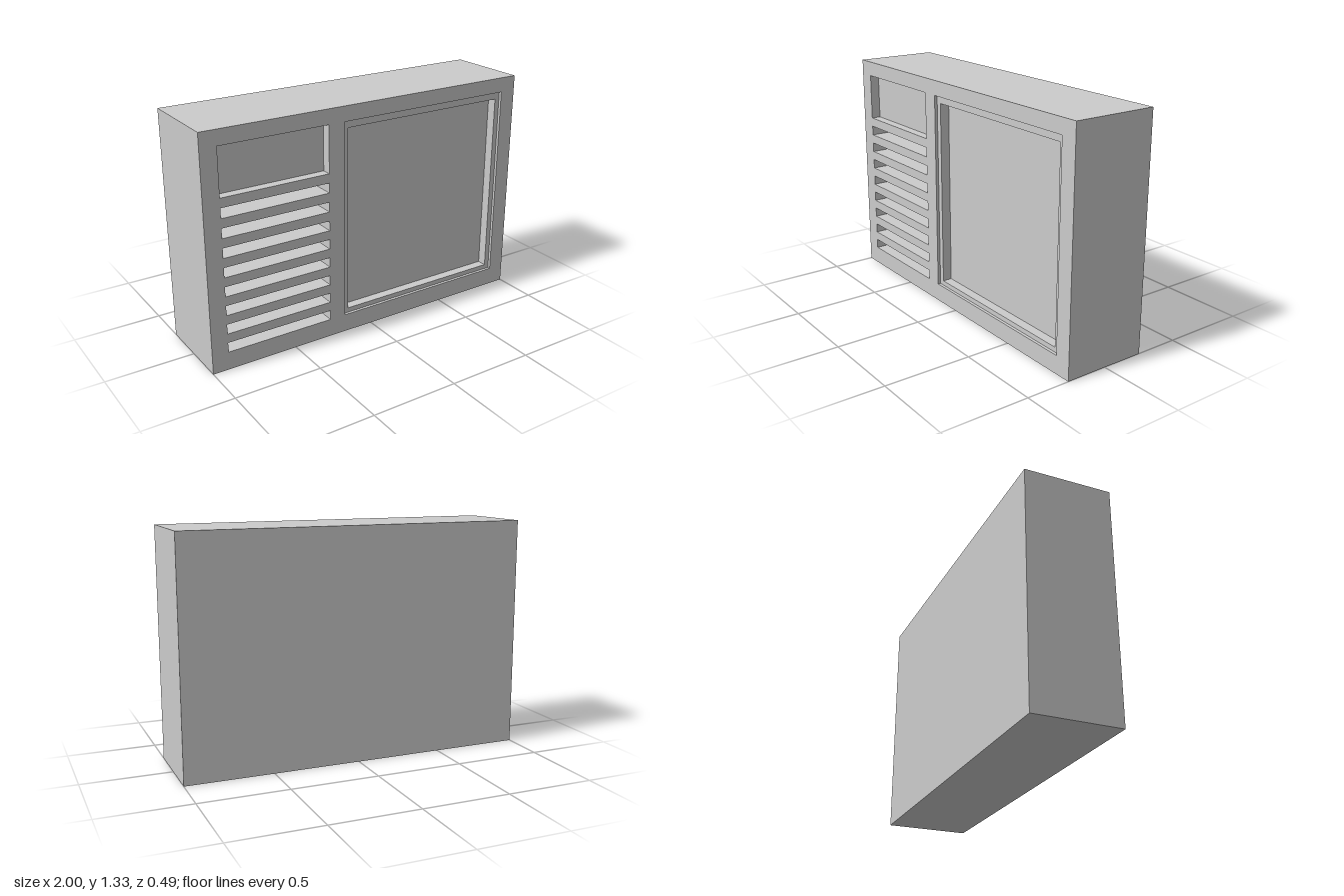
import * as THREE from 'three';

const W = 2, H = 1.325, D = 0.49, FRONT = D / 2;
const material = new THREE.MeshStandardMaterial({ color: 0xcccccc, flatShading: true });

// Rectangles are [x0, y0, x1, y1] on the front face
const DISPLAY = [-0.906, 0.973, -0.275, 1.24];
const WINDOW = [-0.179, 0.104, 0.904, 1.24];
const PANE = [-0.147, 0.131, 0.874, 1.198];
const SLOTS = Array.from({ length: 8 }, (_, i) => {
  const y = 0.104 + i * 0.1086;
  return [-0.906, y, -0.275, y + 0.056];
});
const STEP = 0.017, RECESS = 0.055, SLOT_DEPTH = 0.2;

// Box with chosen sides kept (0 +x, 1 -x, 2 +y, 3 -y, 4 +z, 5 -z), optionally turned inside out
function openBox([x0, y0, x1, y1], zFront, depth, sides, inward) {
  const geometry = new THREE.BoxGeometry(x1 - x0, y1 - y0, depth);
  const source = geometry.index.array;
  const index = sides.flatMap((s) => Array.from(source.slice(s * 6, s * 6 + 6)));
  if (inward) {
    index.reverse();
    const n = geometry.attributes.normal;
    for (let i = 0; i < n.count; i++) n.setXYZ(i, -n.getX(i), -n.getY(i), -n.getZ(i));
  }
  geometry.setIndex(index);
  geometry.clearGroups();
  return geometry.translate((x0 + x1) / 2, (y0 + y1) / 2, zFront - depth / 2);
}

function trace(path, [x0, y0, x1, y1]) {
  path.moveTo(x0, y0);
  path.lineTo(x1, y0);
  path.lineTo(x1, y1);
  path.lineTo(x0, y1);
  path.closePath();
  return path;
}

// Flat plate facing +z with rectangular openings
function plate(rect, openings, z) {
  const shape = trace(new THREE.Shape(), rect);
  shape.holes = openings.map((r) => trace(new THREE.Path(), r));
  return new THREE.ShapeGeometry(shape).translate(0, 0, z);
}

export function createModel() {
  const model = new THREE.Group();
  model.name = 'panelUnit';
  const add = (name, geometry, parent = model) => {
    const mesh = new THREE.Mesh(geometry, material);
    mesh.name = name;
    parent.add(mesh);
  };

  // Housing and its pierced front
  const face = [-W / 2, 0, W / 2, H];
  add('housing', openBox(face, FRONT, D, [0, 1, 2, 3, 5], false));
  add('frontPanel', plate(face, [DISPLAY, WINDOW, ...SLOTS], FRONT));

  // Shallow recess at the upper left of the front
  add('displayRecess', openBox(DISPLAY, FRONT, RECESS, [0, 1, 2, 3, 5], true));

  // Deep vent slots
  const vents = new THREE.Group();
  vents.name = 'ventSlots';
  SLOTS.forEach((r, i) =>
    add(`ventSlot${i + 1}`, openBox(r, FRONT, SLOT_DEPTH, [0, 1, 2, 3, 5], true), vents));
  model.add(vents);

  // Stepped window: rim, ledge and sunken pane
  const win = new THREE.Group();
  win.name = 'window';
  add('windowRim', openBox(WINDOW, FRONT, STEP, [0, 1, 2, 3], true), win);
  add('windowLedge', plate(WINDOW, [PANE], FRONT - STEP), win);
  add('windowPane', openBox(PANE, FRONT - STEP, RECESS, [0, 1, 2, 3, 5], true), win);
  model.add(win);

  return model;
}
